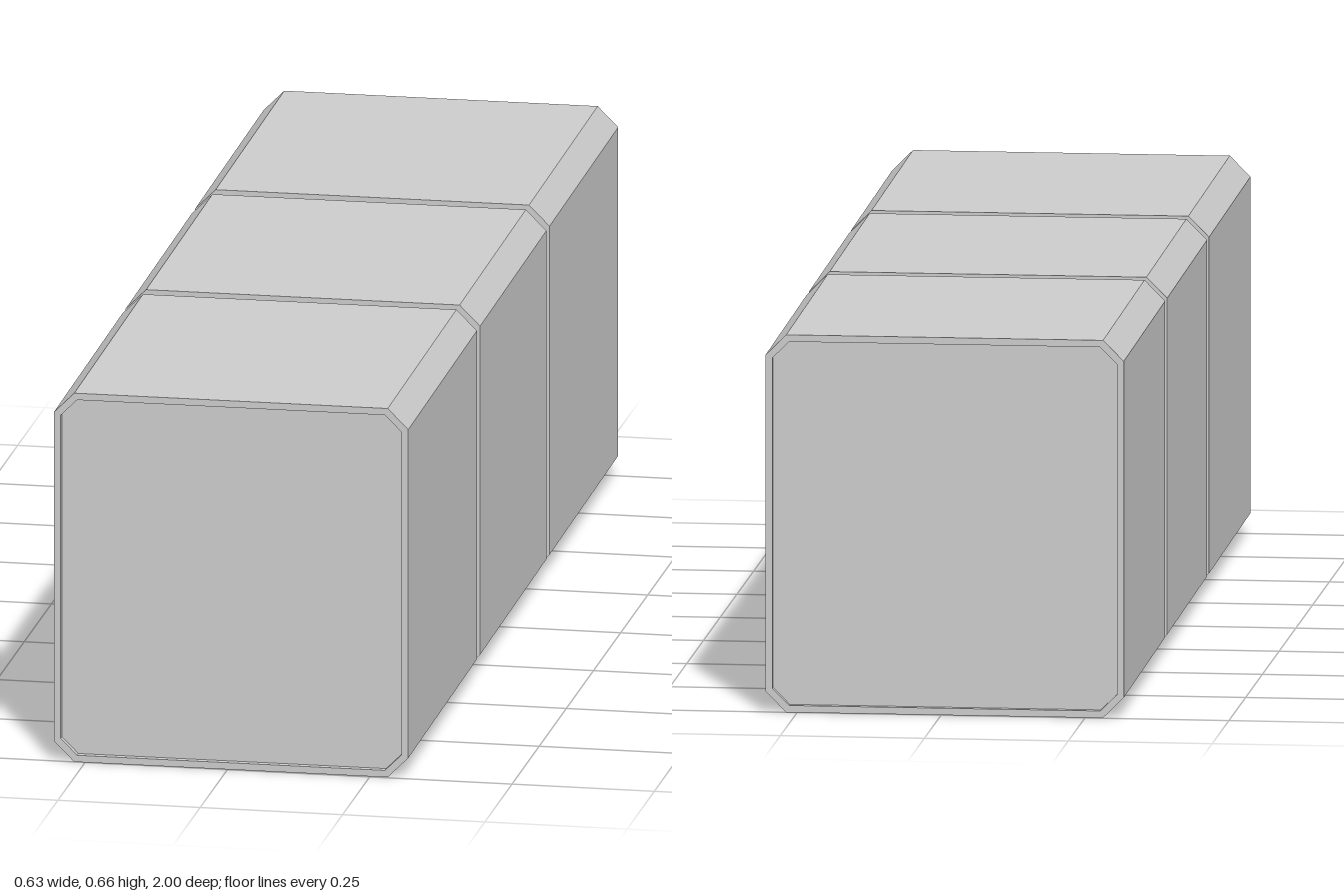
import * as THREE from 'three';

const HALF_W = 0.311, HEIGHT = 0.66, CHAMFER = 0.036;
const WALL = 0.012, HALF_L = 0.998;

// Chamfered rectangle, inset evenly from the outer profile
function outline(PathType, inset) {
  const w = HALF_W - inset, h = HEIGHT / 2 - inset;
  const c = CHAMFER - inset * 0.586;
  const corners = [
    [w, -h + c], [w, h - c], [w - c, h], [-w + c, h],
    [-w, h - c], [-w, -h + c], [-w + c, -h], [w - c, -h],
  ];
  return new PathType(corners.map(([x, y]) => new THREE.Vector2(x, y)));
}

function prism(name, shape, z0, z1, material) {
  const geometry = new THREE.ExtrudeGeometry(shape, { depth: z1 - z0, bevelEnabled: false });
  geometry.translate(0, HEIGHT / 2, z0);
  const mesh = new THREE.Mesh(geometry, material);
  mesh.name = name;
  return mesh;
}

export function createModel() {
  const model = new THREE.Group();
  model.name = 'segmentedBeam';
  const material = new THREE.MeshStandardMaterial({ color: 0xcccccc, flatShading: true });

  // Inner core: shows in the grooves and as the recessed end faces
  const coreEnd = HALF_L - 0.012;
  model.add(prism('core', outline(THREE.Shape, WALL), -coreEnd, coreEnd, material));

  // Three outer sleeves separated by narrow grooves
  const sleeves = [
    ['backSleeve', -HALF_L, -0.345],
    ['middleSleeve', -0.315, 0.315],
    ['frontSleeve', 0.345, HALF_L],
  ];
  for (const [name, z0, z1] of sleeves) {
    const ring = outline(THREE.Shape, 0);
    ring.holes.push(outline(THREE.Path, WALL));
    model.add(prism(name, ring, z0, z1, material));
  }

  // The beam sits very slightly turned
  model.rotation.y = 0.006;
  return model;
}
